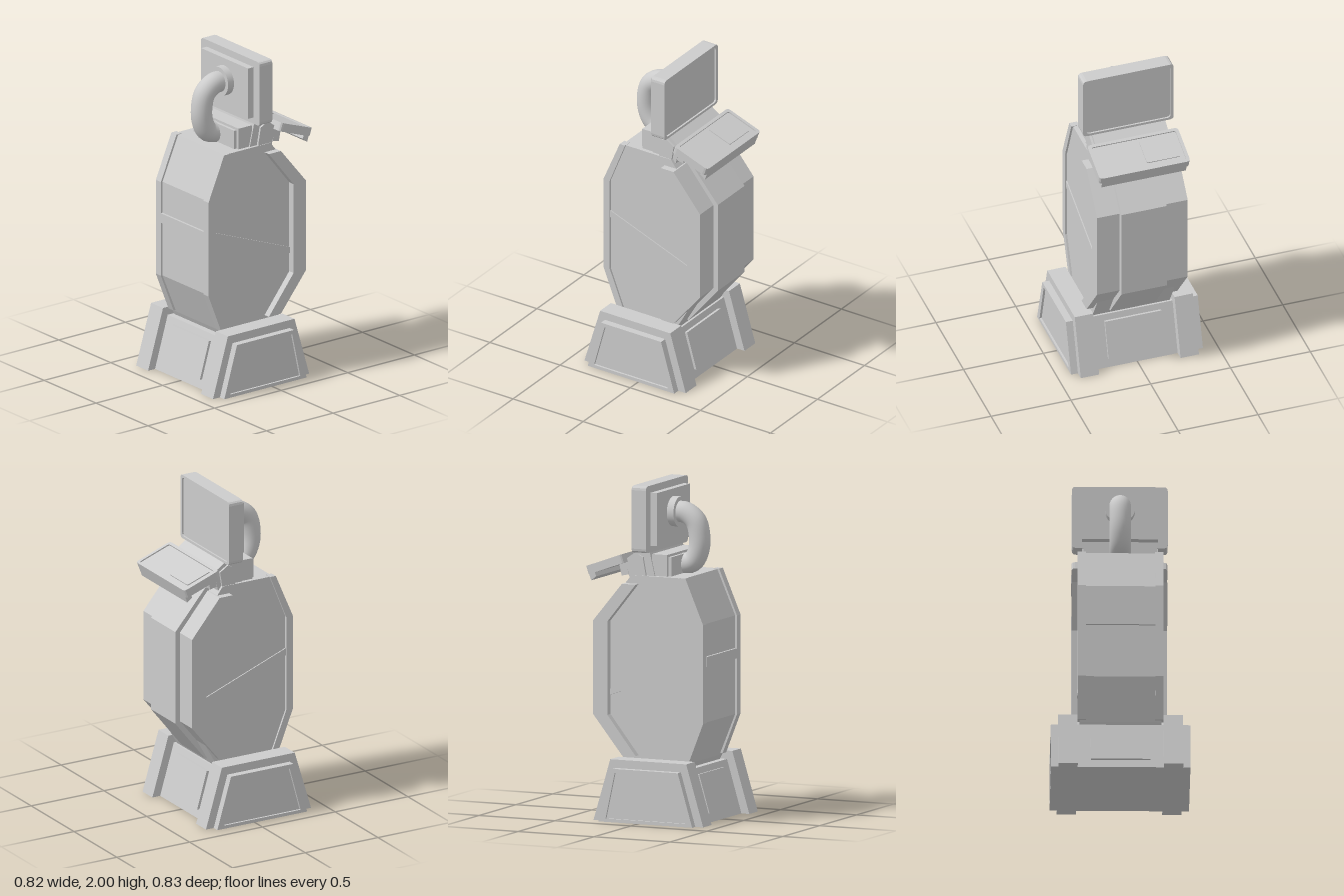
import * as THREE from 'three';

const material = new THREE.MeshStandardMaterial({ color: 0xcccccc });

function polygon(points) {
  return new THREE.Shape(points.map(([x, y]) => new THREE.Vector2(x, y)));
}

function roundedRect(x0, y0, x1, y1, r) {
  const s = new THREE.Shape();
  s.moveTo(x0 + r, y0);
  s.lineTo(x1 - r, y0);
  s.quadraticCurveTo(x1, y0, x1, y0 + r);
  s.lineTo(x1, y1 - r);
  s.quadraticCurveTo(x1, y1, x1 - r, y1);
  s.lineTo(x0 + r, y1);
  s.quadraticCurveTo(x0, y1, x0, y1 - r);
  s.lineTo(x0, y0 + r);
  s.quadraticCurveTo(x0, y0, x0 + r, y0);
  return s;
}

// Extrudes a shape from z0 to z1, optionally with a hole
function extrude(shape, z0, z1, hole) {
  if (hole) shape.holes.push(hole);
  const g = new THREE.ExtrudeGeometry(shape, { depth: z1 - z0, bevelEnabled: false, curveSegments: 3 });
  return g.translate(0, 0, z0);
}

export function createModel() {
  const model = new THREE.Group();

  const add = (name, geometry, parent = model) => {
    const mesh = new THREE.Mesh(geometry, material);
    mesh.name = name;
    parent.add(mesh);
    return mesh;
  };
  const box = (name, x0, x1, y0, y1, halfZ) =>
    add(name, new THREE.BoxGeometry(x1 - x0, y1 - y0, 2 * halfZ).translate((x0 + x1) / 2, (y0 + y1) / 2, 0));
  const slab = (name, points, halfZ) => add(name, extrude(polygon(points), -halfZ, halfZ));
  // The same plate on the front and the back
  const pair = (name, points, z0, z1, hole) => {
    for (const [side, a, b] of [['front', z0, z1], ['back', -z1, -z0]]) {
      add(side + name, extrude(polygon(points), a, b, hole && polygon(hole)));
    }
  };

  // Pedestal: core, thick end plates, raised rims around the end panels
  const foot = [[-0.36, 0], [0.257, 0], [0.163, 0.32], [-0.265, 0.32]];
  slab('pedestalCore', foot, 0.4);
  pair('PedestalPlate', [[-0.412, 0], [0.31, 0], [0.2, 0.37], [-0.3, 0.37]], 0.255, 0.37);
  pair('PedestalRim', foot, 0.4, 0.413, [[-0.315, 0.02], [0.21, 0.02], [0.15, 0.295], [-0.24, 0.295]]);
  // Raised panels on the sloping sides of the pedestal
  slab('rightPedestalPanel', [[0.22, 0.05], [0.257, 0.055], [0.191, 0.285], [0.16, 0.28]], 0.177);
  slab('leftPedestalPanel', [[-0.32, 0.05], [-0.36, 0.055], [-0.292, 0.285], [-0.26, 0.28]], 0.177);

  // Body core
  slab('bodyCore', [[-0.225, 0.32], [0.15, 0.32], [0.31, 0.6], [0.31, 1.2], [0.12, 1.46],
    [-0.225, 1.46], [-0.343, 1.19], [-0.343, 0.6], [-0.24, 0.35]], 0.242);
  // Thin frame along the left edge, with a crossbar between the two panels
  pair('LeftFrame', [[-0.26, 0.36], [-0.215, 0.36], [-0.31, 0.6], [-0.31, 1.19], [-0.2, 1.463],
    [-0.238, 1.463], [-0.355, 1.19], [-0.355, 0.6]], 0.205, 0.254);
  box('leftCrossbar', -0.357, -0.3, 0.935, 0.995, 0.206);
  // Slanting bands across the recessed faces
  pair('SlantBand', [[-0.31, 0.945], [0.27, 0.732], [0.27, 0.77], [-0.31, 0.99]], 0.235, 0.249);
  // Broad C-shaped frames and the prouder spine between them
  pair('RightFrame', [[0.075, 0.385], [0.165, 0.385], [0.355, 0.62], [0.355, 1.18], [0.165, 1.41],
    [0.075, 1.41], [0.26, 1.18], [0.26, 0.62]], 0.13, 0.284);
  slab('rightSpine', [[0, 0.35], [0.18, 0.35], [0.386, 0.61], [0.386, 1.19], [0.18, 1.432], [0, 1.432]], 0.142);

  // Neck and hinge
  box('neckBlock', -0.118, 0, 1.45, 1.575, 0.197);
  box('neckCollar', -0.1, 0, 1.45, 1.59, 0.217);
  slab('neck', [[-0.025, 1.45], [0.14, 1.43], [0.17, 1.55], [0.1, 1.6], [0.01, 1.6]], 0.225);
  slab('neckEndCaps', [[0.03, 1.46], [0.12, 1.46], [0.135, 1.55], [0.08, 1.585], [0.05, 1.57]], 0.238);
  slab('keyboardHinge', [[0.15, 1.46], [0.195, 1.45], [0.215, 1.54], [0.17, 1.575]], 0.225);

  // Screen: rounded slab with a raised bezel, facing +x
  const screen = new THREE.Group();
  screen.name = 'screen';
  screen.rotation.y = Math.PI / 2;
  model.add(screen);
  add('screenBody', extrude(roundedRect(-0.284, 1.6, 0.284, 2, 0.025), 0.006, 0.09), screen);
  add('screenBezel', extrude(roundedRect(-0.284, 1.6, 0.284, 2, 0.025), 0.09, 0.101,
    roundedRect(-0.264, 1.615, 0.264, 1.985, 0.02)), screen);
  box('screenBackPlate', -0.036, 0.01, 1.64, 1.957, 0.225);

  // Flange and bent pipe behind the screen
  add('pipeFlange', new THREE.CylinderGeometry(0.09, 0.09, 0.05, 32).rotateZ(Math.PI / 2).translate(-0.055, 1.822, 0));
  const path = new THREE.CatmullRomCurve3([[-0.06, 1.822], [-0.12, 1.818], [-0.185, 1.77], [-0.209, 1.68],
    [-0.203, 1.6], [-0.17, 1.535], [-0.12, 1.515], [-0.07, 1.515]].map(([x, y]) => new THREE.Vector3(x, y, 0)));
  add('pipe', new THREE.TubeGeometry(path, 32, 0.064, 24));

  // Keyboard: tilted tray with rim, front lip and touch pad
  const keyboard = new THREE.Group();
  keyboard.name = 'keyboard';
  keyboard.position.set(0.172, 1.585, 0);
  keyboard.rotation.z = -0.347;
  model.add(keyboard);
  const tray = (name, shape, y0, y1, hole) =>
    add(name, extrude(shape, y0, y1, hole).rotateX(-Math.PI / 2), keyboard);
  tray('keyboardTray', roundedRect(0, -0.284, 0.25, 0.284, 0.022), -0.052, -0.008);
  tray('keyboardRim', roundedRect(0, -0.284, 0.25, 0.284, 0.022), -0.008, 0,
    roundedRect(0.02, -0.264, 0.235, 0.264, 0.015));
  tray('touchPad', roundedRect(0.035, 0.028, 0.2, 0.238, 0.01), -0.009, -0.002);
  add('keyboardLip', extrude(polygon([[0.21, -0.05], [0.21, -0.077], [0.25, -0.09], [0.25, -0.05]]),
    -0.265, 0.265), keyboard);

  // The whole model sits a hair forward
  for (const part of model.children) part.position.z += 0.002;
  return model;
}
